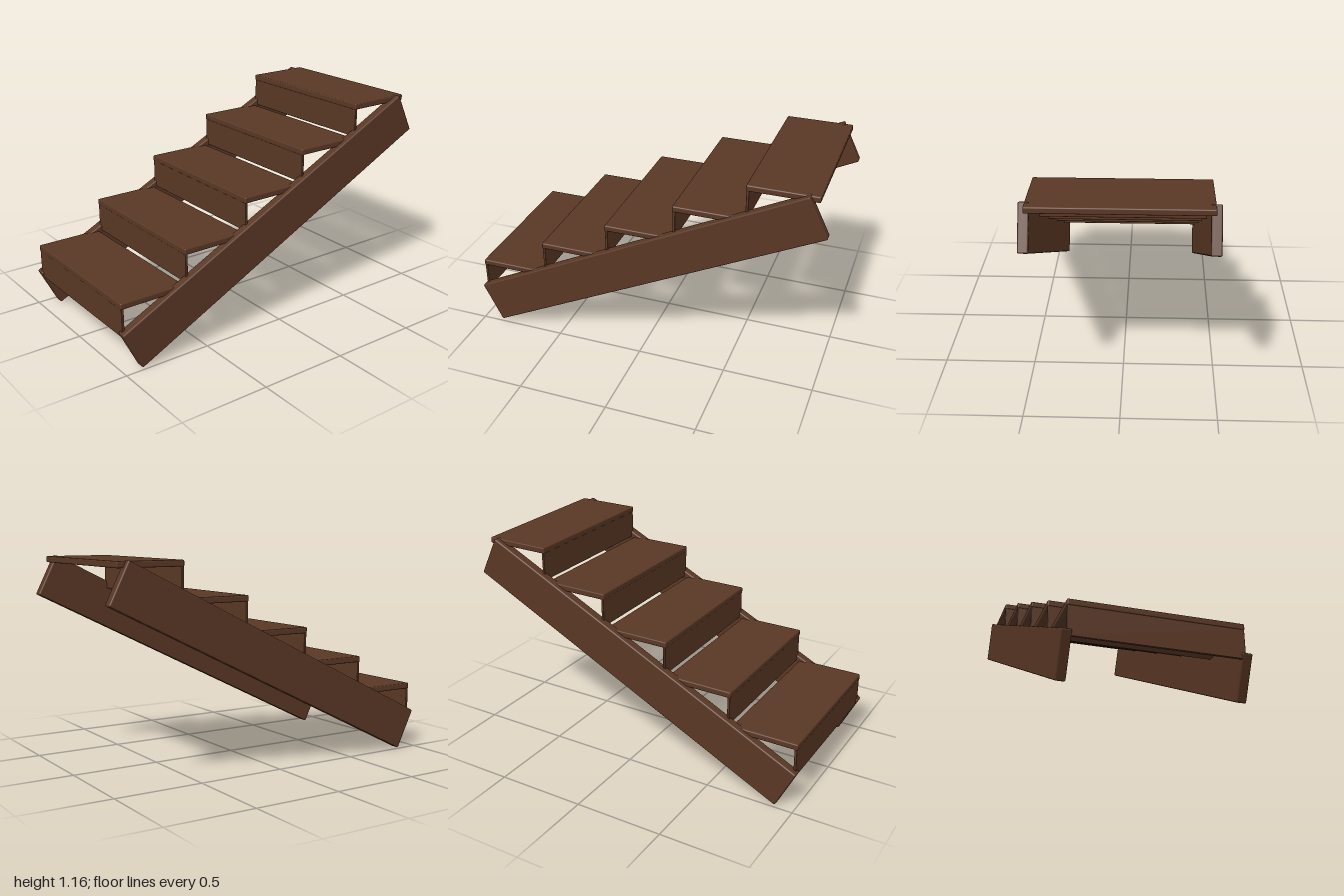
import * as THREE from 'three';
import { RoundedBoxGeometry } from 'three/addons/geometries/RoundedBoxGeometry.js';

const STEPS = 5;
const RISE = 0.193;
const RUN = 0.389;

export function createModel() {
  const darkWood = new THREE.MeshStandardMaterial({ color: 0x593724 });
  darkWood.name = 'darkWood';

  const staircase = new THREE.Group();
  staircase.name = 'staircase';

  // A plank with softly worn edges
  function plank(name, size, position, bevel) {
    const mesh = new THREE.Mesh(new RoundedBoxGeometry(...size, 2, bevel), darkWood);
    mesh.name = name;
    mesh.position.set(...position);
    staircase.add(mesh);
    return mesh;
  }

  // Sloping side beams
  for (const side of [-1, 1]) {
    const name = side > 0 ? 'leftStringer' : 'rightStringer';
    const beam = plank(name, [0.054, 0.245, 2.112], [side * 0.456, 0.58, 0], 0.008);
    beam.rotation.x = Math.atan2(0.94, 1.885);
  }

  // Treads, each with a thin riser under its front edge
  for (let i = 0; i < STEPS; i++) {
    const y = i * RISE;
    const z = 0.99 - i * RUN;
    plank(`tread${i + 1}`, [0.908, 0.034, 0.377], [0, 0.366 + y, z - 0.1885], 0.007);
    plank(`riser${i + 1}`, [0.904, 0.164, 0.015], [0, 0.273 + y, z - 0.0105], 0.004);
  }

  return staircase;
}
